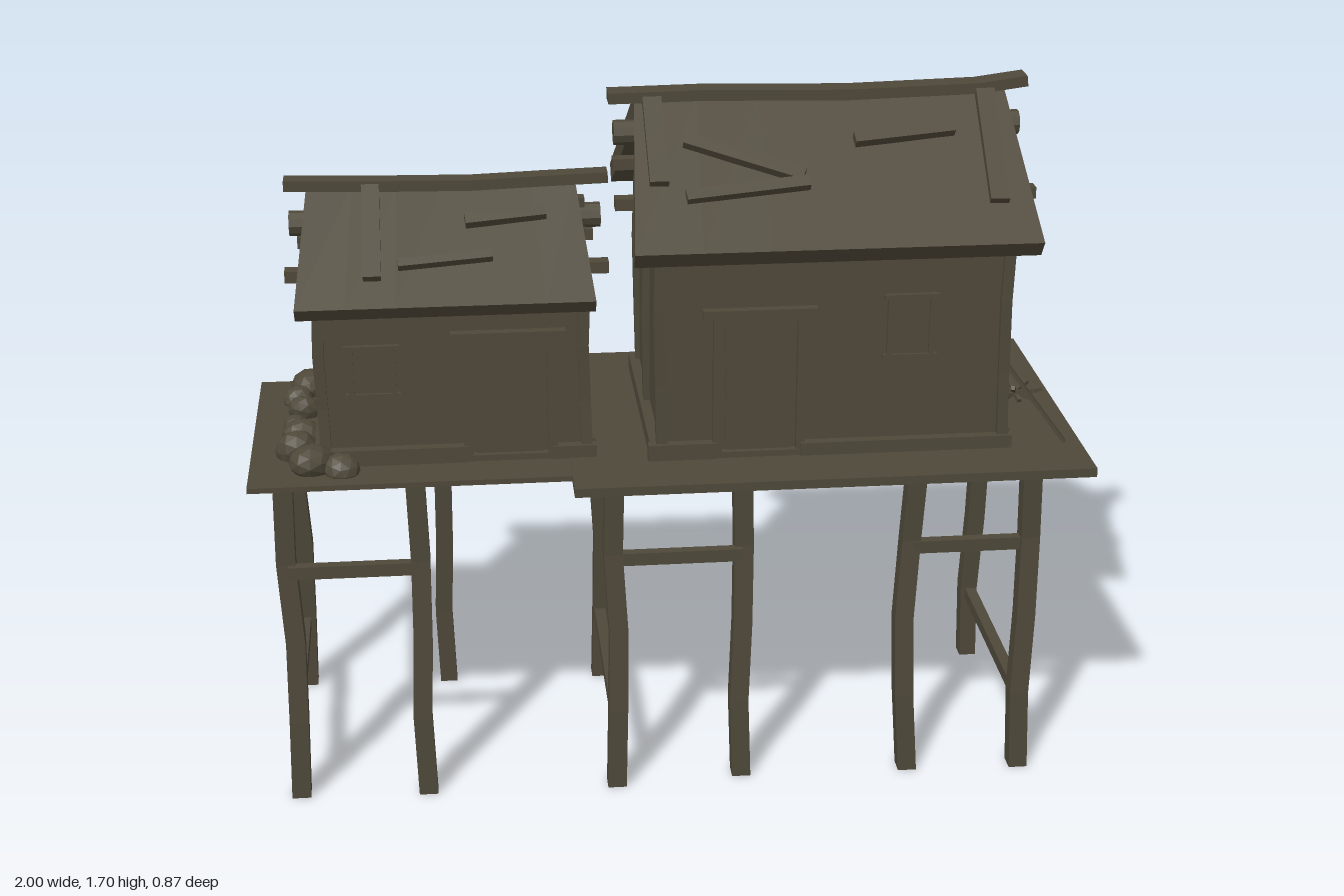
import * as THREE from 'three';

const wood = new THREE.MeshStandardMaterial({ color: 0x4e4839, flatShading: true });
wood.name = 'weathered wood';

function add(parent, name, geo, x = 0, y = 0, z = 0) {
  const m = new THREE.Mesh(geo, wood);
  m.name = name;
  m.position.set(x, y, z);
  parent.add(m);
  return m;
}

// Box given by its minimum and maximum on each axis
function block(parent, name, x0, x1, y0, y1, z0, z1) {
  return add(parent, name, new THREE.BoxGeometry(x1 - x0, y1 - y0, z1 - z0),
    (x0 + x1) / 2, (y0 + y1) / 2, (z0 + z1) / 2);
}

// Straight timber between two points
function beam(parent, name, a, b, w, h, up = [0, 1, 0]) {
  const p = new THREE.Vector3(...a), q = new THREE.Vector3(...b);
  const m = add(parent, name, new THREE.BoxGeometry(w, h, p.distanceTo(q)));
  m.position.copy(p).add(q).multiplyScalar(0.5);
  m.up.set(...up);
  m.lookAt(q.x, q.y, q.z);
  return m;
}

// Crooked upright post, bent by a list of sideways offsets from foot to top
function post(parent, name, x, z, y0, y1, w, bendX, bendZ) {
  const n = bendX.length - 1;
  const g = new THREE.BoxGeometry(w, y1 - y0, w, 1, n, 1), p = g.attributes.position;
  for (let i = 0; i < p.count; i++) {
    const k = Math.round((p.getY(i) / (y1 - y0) + 0.5) * n);
    p.setX(i, p.getX(i) + bendX[k]);
    p.setZ(i, p.getZ(i) + bendZ[k]);
  }
  g.computeVertexNormals();
  return add(parent, name, g, x, (y0 + y1) / 2, z);
}

// Plank house with a sagging gable roof
function house(o) {
  const g = new THREE.Group();
  g.name = o.name;
  const { x0, x1, zc, half, base, ridge, slope, roofHalf, thick } = o;
  const roofY = z => ridge - slope * Math.abs(z - zc);
  const eave = roofY(zc + half) - thick * 1.15, peak = ridge - thick * 1.15;

  // Walls with gables
  const s = new THREE.Shape();
  s.moveTo(-half, base); s.lineTo(half, base); s.lineTo(half, eave);
  s.lineTo(0, peak); s.lineTo(-half, eave);
  const wall = new THREE.ExtrudeGeometry(s, { depth: x1 - x0, bevelEnabled: false });
  wall.rotateY(Math.PI / 2);
  add(g, 'walls', wall, x0, 0, zc);

  // Corner posts and middle gable posts
  for (const x of [x0, x1]) {
    for (const k of [-1, 1])
      post(g, 'cornerPost', x, zc + k * half, base, eave + 0.01, 0.026, [0.004, 0, -0.004, 0.002], [0.003, -0.002, 0.003, 0]);
    post(g, 'gablePost', x, zc, base, peak, 0.034, [0.003, -0.003, 0.003, 0], [0, 0.003, -0.003, 0]);
  }

  // Foot boards, leaving the doorway open
  const zf = zc + half, zb = zc - half, f = 0.025, top = base + 0.04;
  block(g, 'footBoard', x0 - 0.03, o.door[0], base, top, zf, zf + f);
  block(g, 'footBoard', o.door[1], x1 + f, base, top - 0.008, zf, zf + f);
  block(g, 'footBoard', x0 - f, x1 + f, base, top, zb - f, zb);
  block(g, 'footBoard', x0 - f, x0, base, top, zb, zf);
  block(g, 'footBoard', x1, x1 + f, base, top, zb, zf);

  // Door, jambs, lintel and threshold
  const [d0, d1] = o.door, dy = o.doorTop;
  block(g, 'door', d0 + 0.02, d1 - 0.02, base, dy, zf, zf + 0.006);
  for (const x of [d0, d1]) block(g, 'doorJamb', x - 0.01, x + 0.012, base, dy, zf, zf + 0.018);
  block(g, 'lintel', d0 - 0.035, d1 + 0.035, dy, dy + 0.024, zf, zf + 0.024);
  block(g, 'threshold', d0, d1, base, base + 0.015, zf, zf + 0.02);

  // Window shutter with thin frame
  const [w0, w1, wy0, wy1] = o.window;
  block(g, 'windowShutter', w0, w1, wy0, wy1, zf, zf + 0.005);
  for (const x of [w0, w1]) block(g, 'windowFrame', x - 0.006, x + 0.006, wy0, wy1, zf, zf + 0.012);
  for (const y of [wy0, wy1]) block(g, 'windowFrame', w0 - 0.015, w1 + 0.015, y - 0.006, y + 0.006, zf, zf + 0.012);

  // Roof slopes: slightly sagging, narrower at the ridge
  const sag = x => 0.012 * (1 - ((2 * x - o.roof[0] - o.roof[1]) / (o.roof[1] - o.roof[0])) ** 2);
  const nl = Math.hypot(1, slope);
  for (const k of [-1, 1]) {
    const geo = new THREE.BoxGeometry(1, 1, 1, 6, 1, 1), p = geo.attributes.position;
    for (let i = 0; i < p.count; i++) {
      const t = k * p.getZ(i) + 0.5, under = 0.5 - p.getY(i);
      const inset = (1 - t) * 0.03;
      const a = o.roof[0] + inset, b = o.roof[1] - inset, x = a + (p.getX(i) + 0.5) * (b - a);
      const dz = t * roofHalf - under * t * thick * slope / nl;
      const y = ridge - slope * t * roofHalf - under * (t < 0.5 ? thick * nl : thick / nl);
      p.setXYZ(i, x, y - sag(x) * (1 - t), zc + k * dz);
    }
    geo.computeVertexNormals();
    add(g, 'roofSlope', geo);
  }

  // Ridge board in sections following the sag
  const r = o.ridgePoints;
  for (let i = 0; i < r.length - 1; i++)
    beam(g, 'ridgeBoard', [r[i][0] - 0.003, r[i][1], zc], [r[i + 1][0] + 0.003, r[i + 1][1], zc], o.ridgeW, 0.026);

  // Round ridge pole and square purlins poking out of the gables
  const [p0, p1] = o.pole;
  const pole = new THREE.CylinderGeometry(0.03, 0.03, p1 - p0, 10);
  pole.rotateZ(Math.PI / 2);
  add(g, 'ridgePole', pole, (p0 + p1) / 2, ridge - 0.095, zc);
  for (const k of [-1, 1]) {
    const z = zc + k * half * 0.58, y = roofY(z) - thick - 0.045;
    block(g, 'purlin', p0 - 0.01 * k, p1 + 0.01 * k, y - 0.014, y + 0.014, z - 0.018, z + 0.018);
  }

  // Loose patch planks lying on the roof: x, z, x, z, width
  for (const [ax, az, bx, bz, w] of o.planks) {
    const k = az > zc ? 1 : -1, up = [0, 1 / nl, k * slope / nl];
    beam(g, 'roofPlank', [ax, roofY(az) + 0.007, az], [bx, roofY(bz) + 0.007, bz], w, 0.024, up);
  }
  return g;
}

export function createModel() {
  const model = new THREE.Group();
  model.name = 'stiltHouses';

  // Decks
  block(model, 'largeDeck', -0.24, 1, 0.828, 0.85, -0.44, 0.43);
  block(model, 'smallDeck', -1, -0.2, 0.835, 0.848, -0.32, 0.35);

  // Stilts
  const bends = [[0, 0.005, 0.008, -0.004, 0], [0.003, -0.004, 0.004, 0.006, 0], [0.002, -0.012, -0.018, -0.006, 0.004]];
  const zBend = [0.012, 0.006, -0.004, -0.014, -0.006];
  [-0.92, -0.61, -0.14, 0.17, 0.59, 0.87].forEach((x, i) =>
    post(model, 'frontStilt', x, 0.31 + (i % 3 - 1) * 0.012, 0, 0.835, 0.046, bends[i === 4 ? 2 : i % 2], zBend));
  [-0.92, -0.55, -0.14, 0.87].forEach((x, i) =>
    post(model, 'backStilt', x, -0.24 + (i % 3 - 1) * 0.012, 0, 0.835, 0.044, bends[i % 2], zBend.map(v => -v)));

  // Braces between stilts
  for (const [a, b] of [[-0.92, -0.61], [-0.14, 0.17], [0.59, 0.87]])
    block(model, 'frontBrace', a, b, 0.592, 0.624, 0.295, 0.32);
  for (const x of [-0.92, -0.14, 0.87])
    block(model, 'sideBrace', x - 0.014, x + 0.014, 0.177, 0.207, -0.24, 0.31);

  model.add(house({
    name: 'largeHouse', x0: -0.025, x1: 0.8, zc: -0.018, half: 0.28, base: 0.85, ridge: 1.67, slope: 0.765,
    roofHalf: 0.367, thick: 0.05, roof: [-0.09, 0.86], door: [0.11, 0.31], doorTop: 1.2,
    window: [0.52, 0.62, 1.09, 1.24], pole: [-0.11, 0.87], ridgeW: 0.06,
    ridgePoints: [[-0.12, 1.665], [0.1, 1.668], [0.45, 1.66], [0.77, 1.668], [0.88, 1.683]],
    planks: [[-0.02, 0, -0.02, 0.2, 0.045], [0.05, 0.1, 0.32, 0.19, 0.035], [0.04, 0.23, 0.33, 0.205, 0.03],
      [0.45, 0.11, 0.69, 0.09, 0.03], [0.78, 0, 0.77, 0.26, 0.045],
      [0, -0.04, 0, -0.27, 0.045], [0.02, -0.22, 0.35, -0.12, 0.04]],
  }));

  model.add(house({
    name: 'smallHouse', x0: -0.82, x1: -0.2, zc: 0.005, half: 0.215, base: 0.848, ridge: 1.475, slope: 0.76,
    roofHalf: 0.283, thick: 0.042, roof: [-0.87, -0.175], door: [-0.48, -0.28], doorTop: 1.15,
    window: [-0.75, -0.65, 1.02, 1.14], pole: [-0.885, -0.145], ridgeW: 0.048,
    ridgePoints: [[-0.89, 1.478], [-0.68, 1.472], [-0.45, 1.468], [-0.3, 1.473], [-0.13, 1.478]],
    planks: [[-0.69, 0.02, -0.69, 0.23, 0.042], [-0.63, 0.2, -0.41, 0.185, 0.022], [-0.47, 0.105, -0.28, 0.09, 0.03],
      [-0.63, -0.02, -0.635, -0.21, 0.045], [-0.78, -0.13, -0.54, -0.06, 0.03]],
  }));

  // Shutter on the small gable
  block(model, 'gableShutter', -0.832, -0.82, 1.04, 1.17, -0.15, -0.06);
  block(model, 'gableLintel', -0.84, -0.82, 1.17, 1.19, -0.17, -0.04);

  // Rocks around the small house: x, z, radius
  [[-0.87, -0.25, 0.05], [-0.9, -0.17, 0.035], [-0.88, -0.09, 0.04], [-0.9, -0.01, 0.03], [-0.88, 0.08, 0.045],
    [-0.89, 0.17, 0.05], [-0.85, 0.25, 0.055], [-0.78, 0.28, 0.04]].forEach(([x, z, r], i) => {
    const m = add(model, 'rock', new THREE.IcosahedronGeometry(r, 1), x, 0.845 + r * 0.4, z);
    m.scale.set(1, 0.8, 1.1);
    m.rotation.set(i, i * 2, 0);
  });

  // Leaning pole and pile of sticks by the large house
  beam(model, 'leaningPole', [0.96, 0.852, 0.265], [0.805, 1.06, 0.24], 0.022, 0.008);
  for (let i = 0; i < 7; i++) {
    const a = i * 0.9, c = Math.cos(a), s = Math.sin(a);
    beam(model, 'stick', [0.9 - c * 0.05, 0.855, -0.02 - s * 0.03], [0.9 + c * 0.075, 0.875 + (i % 3) * 0.015, -0.02 + s * 0.065], 0.01, 0.01);
  }
  return model;
}
